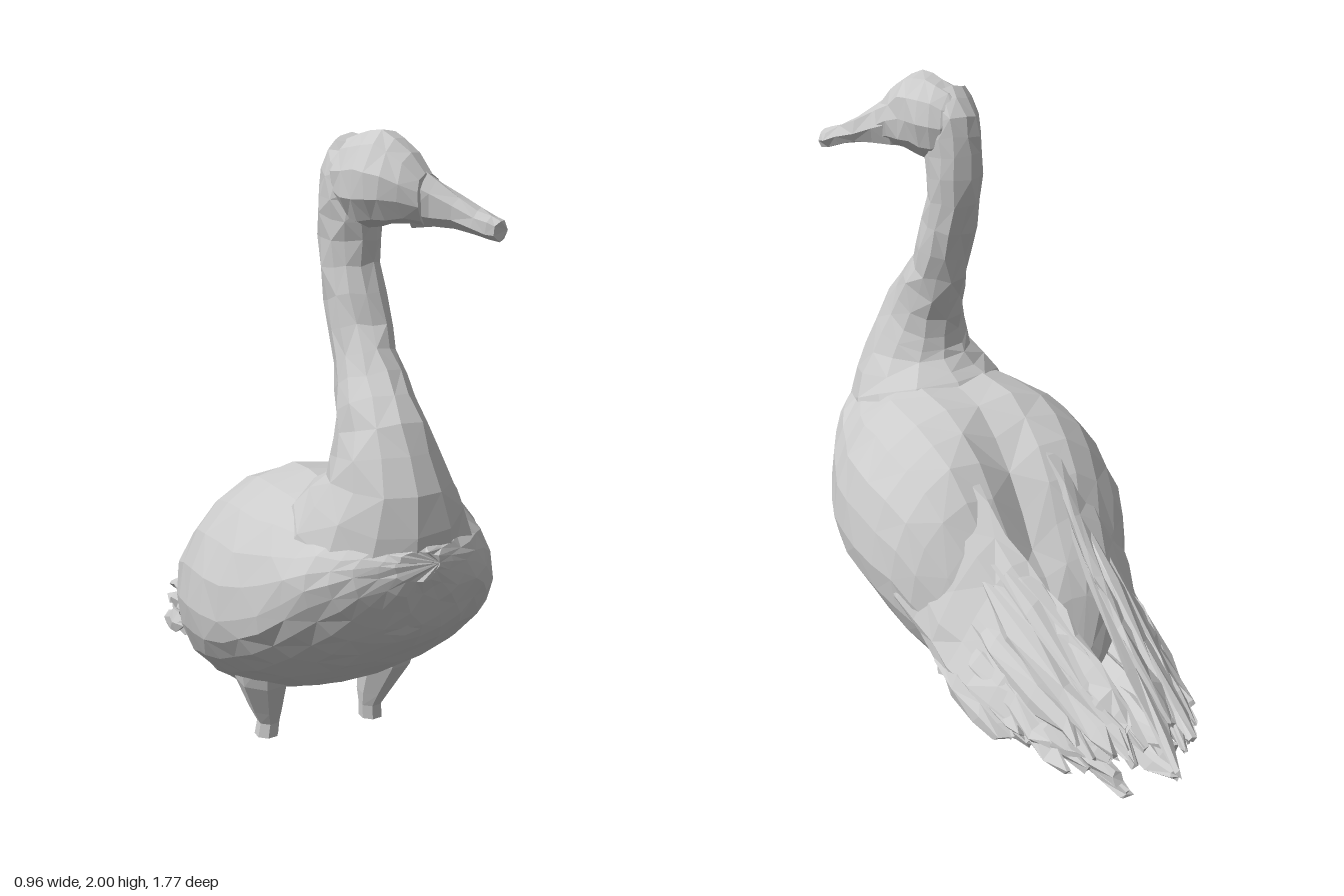
import * as THREE from 'three';

const V = (x, y, z) => new THREE.Vector3(x, y, z);
const material = new THREE.MeshStandardMaterial({ color: 0xcccccc, flatShading: true });

// Small seeded generator for the hand-cut facets
let seed = 7;
const rand = () => {
  seed = (seed * 16807) % 2147483647;
  return seed / 2147483647 - 0.5;
};

// Resample rows of numbers along a Catmull-Rom spline
function smooth(rows, count) {
  const last = rows.length - 1;
  return Array.from({ length: count + 1 }, (_, k) => {
    const s = (k / count) * last;
    const i = Math.min(Math.floor(s), last - 1);
    const f = s - i;
    return rows[i].map((b, c) => {
      const a = rows[Math.max(i - 1, 0)][c];
      const d = rows[i + 1][c];
      const e = rows[Math.min(i + 2, last)][c];
      return b + 0.5 * f * (d - a + f * (2 * a - 5 * b + 4 * d - e + f * (3 * (b - d) + e - a)));
    });
  });
}

// Ring of n points: centre plus two half-axis vectors
const oval = (c, u, v, n) => Array.from({ length: n }, (_, j) => {
  const t = (j / n) * Math.PI * 2;
  return c.clone().addScaledVector(u, Math.cos(t)).addScaledVector(v, Math.sin(t));
});

// Skin a closed solid over rings, with slightly irregular points
function loft(name, rings, jitter) {
  const n = rings[0].length;
  const pts = rings.flat().map((p) => p.clone().add(V(rand(), rand(), rand()).multiplyScalar(jitter)));
  const index = [];
  for (let i = 0; i < rings.length - 1; i++) {
    for (let j = 0; j < n; j++) {
      const a = i * n + j;
      const b = i * n + ((j + 1) % n);
      if ((i + j) % 2) index.push(a, b, a + n, b, b + n, a + n);
      else index.push(a, b, b + n, a, b + n, a + n);
    }
  }
  const end = (rings.length - 1) * n;
  for (let j = 1; j < n - 1; j++) index.push(0, j + 1, j, end, end + j, end + j + 1);
  // Turn the faces outward when the rings run the other way
  let volume = 0;
  for (let k = 0; k < index.length; k += 3) {
    volume += pts[index[k]].dot(pts[index[k + 1]].clone().cross(pts[index[k + 2]]));
  }
  if (volume < 0) index.reverse();
  const geometry = new THREE.BufferGeometry().setFromPoints(pts);
  geometry.setIndex(index);
  geometry.computeVertexNormals();
  const mesh = new THREE.Mesh(geometry, material);
  mesh.name = name;
  return mesh;
}

// Body: z, top, bottom, height of the widest line, half width, depth of the valley along the back
function makeBody() {
  const rows = [
    [-0.34, 0.2, 0.03, 0.1, 0.08, 0], [-0.24, 0.45, 0.01, 0.2, 0.25, 0.05], [-0.1, 0.7, 0.03, 0.37, 0.37, 0.15],
    [0.05, 0.89, 0.09, 0.49, 0.45, 0.13], [0.25, 0.98, 0.18, 0.53, 0.48, 0.05], [0.45, 0.98, 0.3, 0.55, 0.455, 0.03],
    [0.6, 0.97, 0.41, 0.62, 0.385, 0], [0.74, 0.93, 0.53, 0.73, 0.29, 0], [0.83, 0.89, 0.66, 0.79, 0.18, 0],
    [0.875, 0.86, 0.77, 0.82, 0.07, 0],
  ];
  const rings = smooth(rows, 18).map(([z, top, bottom, mid, w, dip]) => Array.from({ length: 24 }, (_, j) => {
    const t = (j / 24) * Math.PI * 2;
    const s = Math.sin(t);
    const x = w * Math.cos(t);
    const valley = s > 0 ? dip * Math.exp(-((x / 0.11) ** 2)) : 0;
    return V(x, mid + s * (s > 0 ? top - mid : mid - bottom) - valley, z);
  }));
  return loft('body', rings, 0.01);
}

// Neck: x, y, z, half width, half depth
function makeNeck() {
  const rows = [
    [0, 0.72, 0.55, 0.31, 0.28], [0, 0.87, 0.635, 0.265, 0.25], [0, 1.02, 0.665, 0.18, 0.195],
    [-0.01, 1.15, 0.635, 0.135, 0.15], [-0.015, 1.28, 0.567, 0.107, 0.11], [-0.02, 1.42, 0.505, 0.09, 0.088],
    [-0.03, 1.6, 0.452, 0.087, 0.09], [-0.035, 1.75, 0.452, 0.092, 0.097], [-0.03, 1.86, 0.47, 0.095, 0.108],
    [-0.02, 1.94, 0.505, 0.07, 0.08],
  ];
  const path = smooth(rows, 18);
  const rings = path.map(([x, y, z, hw, hd], i) => {
    const a = path[Math.max(i - 1, 0)];
    const b = path[Math.min(i + 1, path.length - 1)];
    const along = V(0, b[1] - a[1], b[2] - a[2]).normalize();
    return oval(V(x, y, z), V(hw, 0, 0), V(0, -along.z, along.y).multiplyScalar(hd), 12);
  });
  return loft('neck', rings, 0.014);
}

// Head and bill, turned to one side: x, y, z, half width, half height
function makeHead() {
  const side = V(0.8, 0, -0.6);
  const build = (name, rows, count, n) => loft(name, smooth(rows, count).map(([x, y, z, w, h]) =>
    oval(V(x, y, z), side.clone().multiplyScalar(w), V(0, h, 0), n)), 0.012);
  const head = build('head', [
    [-0.05, 1.86, 0.41, 0.045, 0.05], [-0.042, 1.855, 0.44, 0.09, 0.1], [-0.01, 1.855, 0.5, 0.122, 0.135],
    [0.015, 1.862, 0.57, 0.125, 0.138], [0.045, 1.855, 0.635, 0.105, 0.115], [0.095, 1.82, 0.69, 0.065, 0.075],
  ], 8, 11);
  const bill = build('bill', [
    [0.075, 1.825, 0.655, 0.075, 0.09], [0.13, 1.8, 0.71, 0.052, 0.062], [0.185, 1.775, 0.765, 0.042, 0.038],
    [0.225, 1.755, 0.815, 0.048, 0.036], [0.245, 1.745, 0.845, 0.036, 0.032],
  ], 5, 7);
  const group = new THREE.Group();
  group.name = 'headAndBill';
  group.add(head, bill);
  return group;
}

// A flat, ragged blade from a buried root to a tip
function feather(name, root, tip, across, width, thick) {
  const along = tip.clone().sub(root);
  const normal = across.clone().cross(along).normalize();
  const stations = [[0, 0.3, 0.2], [0.3, 1, 1], [0.65, 0.95, 0.8], [0.88, 0.65, 0.6], [1, 0.2, 0.4]];
  return loft(name, stations.map(([t, k, h]) => oval(
    root.clone().addScaledVector(along, t).addScaledVector(across, rand() * width * 0.5),
    across.clone().multiplyScalar(width * k), normal.clone().multiplyScalar(thick * h), 6,
  )), 0.022);
}

// Folded wing, sloping like a roof; m is +1 for left and -1 for right
function makeWing(m) {
  const wing = new THREE.Group();
  wing.name = m > 0 ? 'leftWing' : 'rightWing';
  const at = (x, y, z) => V(m * x, y, z);
  const reach = m > 0 ? 0.95 : 1;
  const spread = m > 0 ? 1 : 0.86;

  // Mantle: z, inner x and y, outer x and y, half thickness
  const rows = [
    [0.3, 0.18, 0.82, 0.42, 0.5, 0.04], [0.1, 0.14, 0.85, 0.44, 0.42, 0.065], [-0.08, 0.14, 0.71, 0.4, 0.32, 0.06],
    [-0.28, 0.1, 0.56, 0.38, 0.24, 0.045], [-0.48, 0.065, 0.47, 0.34, 0.2, 0.03], [-0.68, 0.05, 0.36, 0.23, 0.16, 0.025],
    [-0.8, 0.06, 0.27, 0.14, 0.16, 0.015],
  ];
  wing.add(loft('wingMantle', smooth(rows, 13).map(([z, xi, yi, xo, yo, b]) => {
    const edge = z < 0 ? xo * (1 + (spread - 1) * Math.min(1, -z * 4)) : xo;
    const half = at((edge - xi) / 2, (yo - yi) / 2, 0);
    const out = at(yi - yo, edge - xi, 0).normalize().multiplyScalar(b);
    return oval(at((xi + edge) / 2, (yi + yo) / 2, z * (z < 0 ? reach : 1)), half, out, 12);
  }), 0.02));

  // Flight feathers over the mantle
  const roof = at(0.6, -0.8, 0);
  for (let i = 0; i < 10; i++) {
    const t = i / 9;
    const root = at(0.16 + 0.23 * t * spread, 0.65 - 0.36 * t, -0.02 - 0.12 * (i % 2));
    const tip = at(0.045 + 0.29 * t * spread, 0.17 + rand() * 0.14, (-0.87 + 0.36 * t * t + rand() * 0.05) * reach);
    wing.add(feather('flightFeather', root, tip, roof, 0.05, 0.035));
  }
  // Lower feathers beside the tail, rising outward
  const flat = at(0.85, 0.5, 0);
  for (let i = 0; i < 8; i++) {
    const t = i / 7;
    const root = at(0.1 + 0.2 * t * spread, 0.09 + 0.15 * t, -0.04);
    const tip = at(0.09 + 0.21 * t * spread, 0.05 + 0.11 * t + (i % 2) * 0.04, -0.78 + 0.34 * t + rand() * 0.08);
    wing.add(feather('lowerFeather', root, tip, flat, 0.06, 0.05));
  }
  return wing;
}

// Short leg: thick thigh tapering to a stump; x, y, z, half width, half depth
function makeLeg(m) {
  const rows = [[0.23, 0.36, 0.21, 0.1, 0.14], [0.215, 0.22, 0.2, 0.085, 0.1], [0.19, 0.1, 0.17, 0.055, 0.06],
    [0.18, 0.05, 0.165, 0.038, 0.038], [0.185, 0, 0.16, 0.04, 0.04]];
  return loft(m > 0 ? 'leftLeg' : 'rightLeg',
    rows.map(([x, y, z, w, d]) => oval(V(m * x, y, z), V(w, 0, 0), V(0, 0, d), 7)), 0);
}

export function createModel() {
  seed = 7;
  const model = new THREE.Group();
  model.name = 'goose';
  model.add(makeBody(), makeNeck(), makeHead());
  for (const m of [1, -1]) model.add(makeWing(m), makeLeg(m));
  return model;
}
